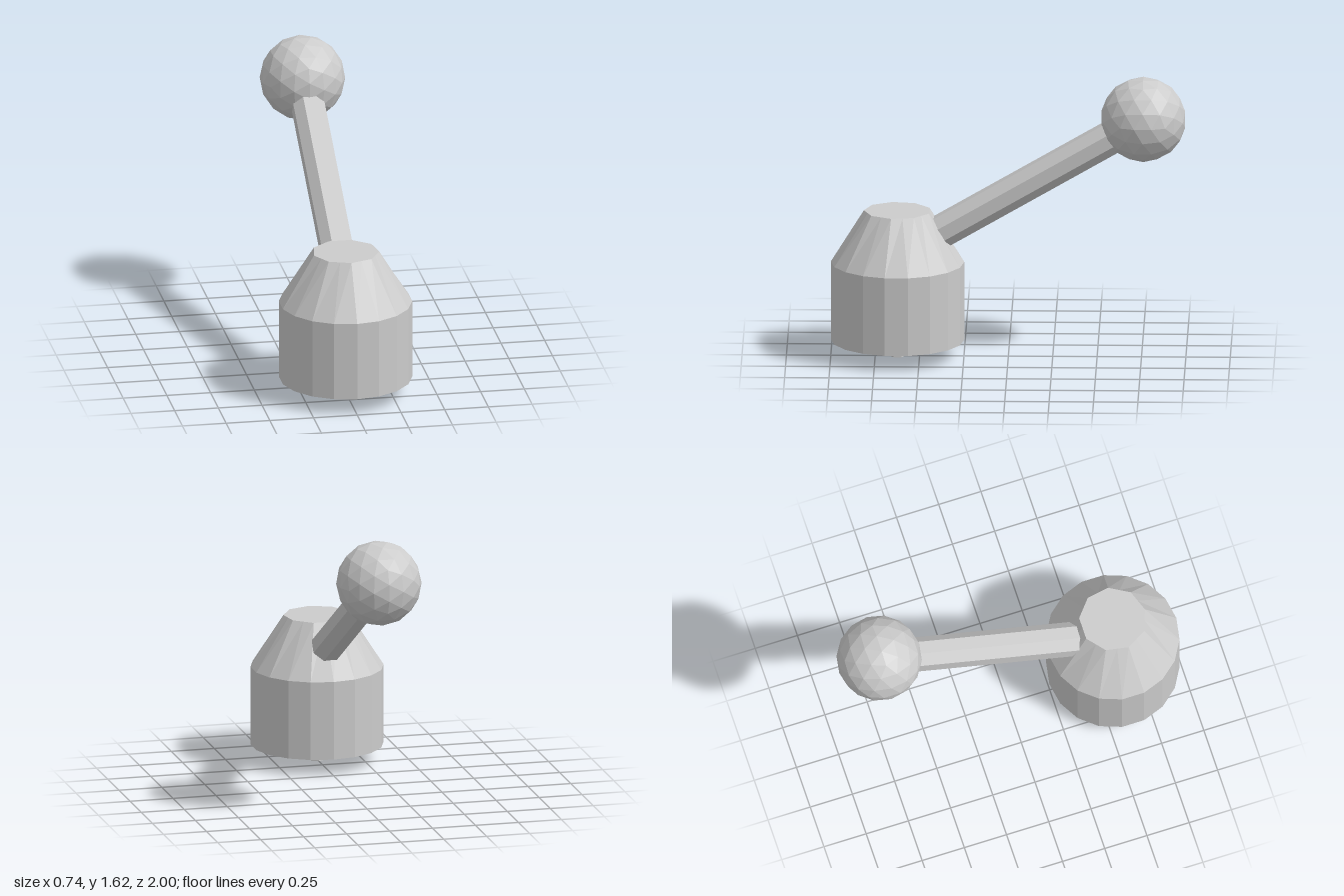
import * as THREE from 'three';

const material = new THREE.MeshStandardMaterial({ color: 0xcccccc, flatShading: true });

function addPart(group, name, geometry, x, y, z) {
  const mesh = new THREE.Mesh(geometry, material);
  mesh.name = name;
  mesh.position.set(x, y, z);
  group.add(mesh);
  return mesh;
}

// Faceted frustum standing between two heights
function addDrum(group, name, rTop, rBottom, y0, y1, sides, z) {
  const geometry = new THREE.CylinderGeometry(rTop, rBottom, y1 - y0, sides);
  return addPart(group, name, geometry, 0, (y0 + y1) / 2, z);
}

export function createModel() {
  const group = new THREE.Group();
  group.name = 'lever';
  const baseZ = 0.624, sides = 18;

  // Base: pin, straight body and tapered shoulder
  addDrum(group, 'pin', 0.045, 0.045, 0, 0.12, 6, baseZ);
  const body = addDrum(group, 'baseBody', 0.376, 0.376, 0.095, 0.547, sides, baseZ);
  const shoulder = addDrum(group, 'baseShoulder', 0.19, 0.376, 0.547, 0.845, sides, baseZ);

  // Pull every second top corner onto its chord, so the 18 sides end in a 9-sided top
  const pos = shoulder.geometry.attributes.position;
  for (let i = 0; i < pos.count; i++) {
    if (pos.getY(i) < 0) continue;
    const x = pos.getX(i), z = pos.getZ(i);
    const step = Math.round(Math.atan2(x, z) / (2 * Math.PI / sides));
    const k = step % 2 === 0 ? 1 : Math.cos(Math.PI / 9);
    pos.setXYZ(i, x * k, pos.getY(i), z * k);
  }

  // Ball knob
  const ball = new THREE.Vector3(0, 1.383, -0.76);
  addPart(group, 'knob', new THREE.IcosahedronGeometry(0.241, 2), ball.x, ball.y, ball.z);

  // Octagonal arm from inside the base to inside the knob, flat side up
  const foot = new THREE.Vector3(0, 0.655, 0.5);
  const tip = foot.clone().lerp(ball, 0.95);
  const armGeometry = new THREE.CylinderGeometry(0.097, 0.097, foot.distanceTo(tip), 8);
  armGeometry.rotateY(Math.PI / 8);
  const mid = foot.clone().lerp(tip, 0.5);
  const arm = addPart(group, 'arm', armGeometry, mid.x, mid.y, mid.z);
  arm.quaternion.setFromUnitVectors(new THREE.Vector3(0, 1, 0), tip.clone().sub(foot).normalize());

  return group;
}
